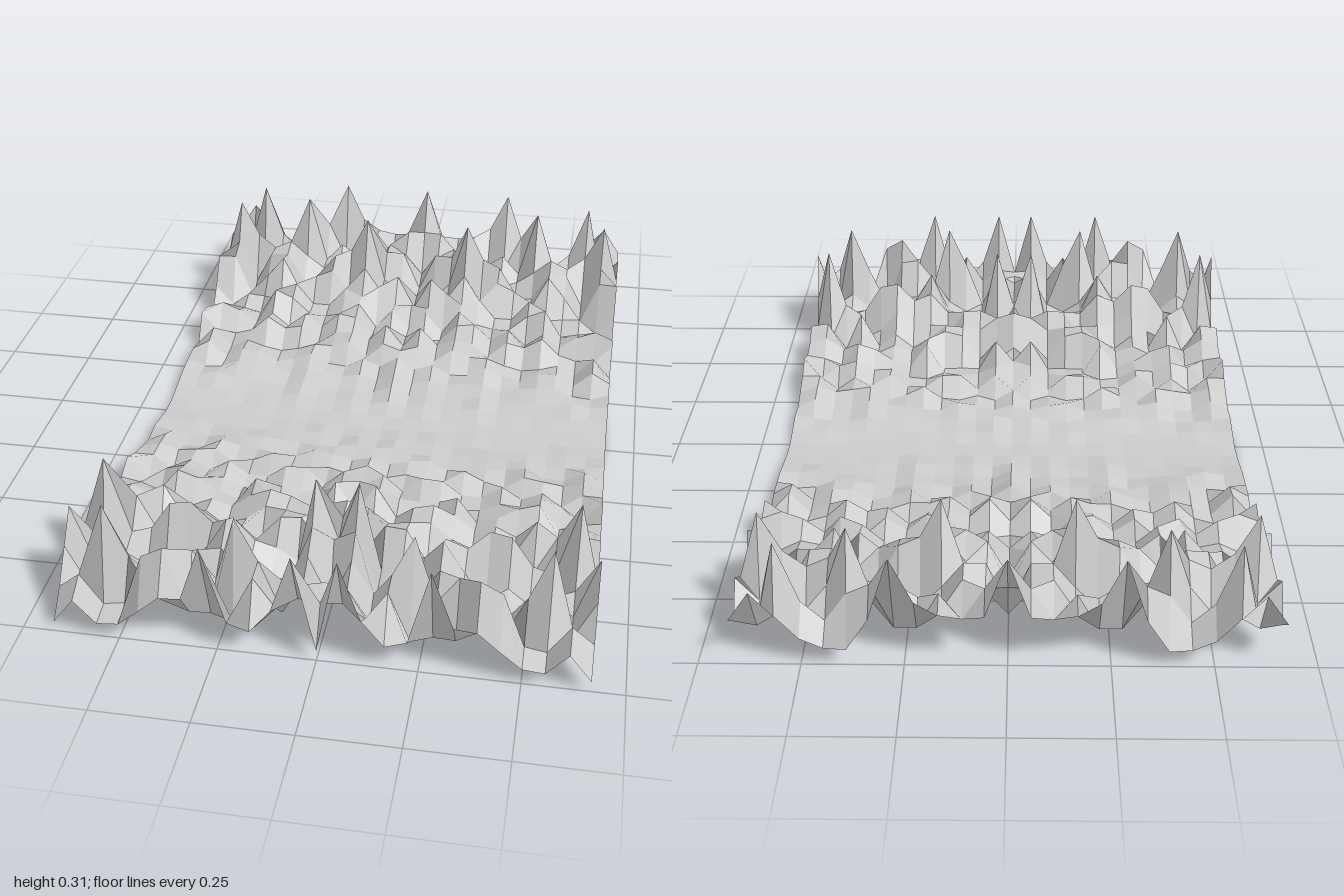
import * as THREE from 'three';

const COLS = 24, ROWS = 32, WIDTH = 4 / 3, DEPTH = 2, TOP = 0.315;

// Summits and corners as [columns out from the middle, row from the back, height], mirrored in x
const SUMMITS = [
  [0, 0, TOP], [5, 0, TOP], [10, 1, TOP], [11, 3, TOP], [3, 4, TOP], [7, 2, TOP],
  [1, 27, TOP], [11, 27, TOP], [10, 30, TOP], [5, 32, TOP], [4, 30, TOP], [7, 31, 0.25],
  [1, 32, TOP], [12, 29, 0.25], [12, 0, 0.13], [12, 32, 0.03], [0, 32, 0.03],
];

// Repeatable noise in 0..1
function makeNoise(seed) {
  return () => {
    seed = (seed * 16807) % 2147483647;
    return seed / 2147483647;
  };
}

// Height grid for one half: flat valley across the middle, rougher towards both ends
function makeHeights() {
  const noise = makeNoise(4711);
  const heights = [];
  for (let row = 0; row <= ROWS; row++) {
    const d = Math.abs((row / ROWS - 0.5) * DEPTH + 0.03);
    const rough = 0.19 * Math.pow(Math.min(1, d / 0.75), 1.25);
    heights.push([]);
    for (let c = 0; c <= COLS / 2; c++) {
      heights[row].push(0.002 + 0.03 * d + rough * Math.pow(noise(), 1.3));
    }
  }
  for (const [c, row, y] of SUMMITS) heights[row][c] = y;
  heights[16][0] = 0;
  return heights;
}

// Sheet of separate four-cornered facets, each with a single normal
function makeSheet(heights) {
  const positions = [], normals = [], indices = [];
  const point = (row, col) => new THREE.Vector3(
    (col / COLS - 0.5) * WIDTH, heights[row][Math.abs(col - COLS / 2)], (row / ROWS - 0.5) * DEPTH);
  for (let row = 0; row < ROWS; row++) {
    for (let col = 0; col < COLS; col++) {
      const corners = [point(row, col), point(row + 1, col), point(row + 1, col + 1), point(row, col + 1)];
      const [a, b, c, d] = corners;
      const normal = c.clone().sub(a).cross(d.clone().sub(b)).normalize();
      const n = positions.length / 3;
      for (const corner of corners) {
        positions.push(...corner.toArray());
        normals.push(...normal.toArray());
      }
      // Diagonals mirror across the middle
      if (col < COLS / 2) indices.push(n, n + 1, n + 3, n + 1, n + 2, n + 3);
      else indices.push(n, n + 1, n + 2, n, n + 2, n + 3);
    }
  }
  const geometry = new THREE.BufferGeometry();
  geometry.setAttribute('position', new THREE.Float32BufferAttribute(positions, 3));
  geometry.setAttribute('normal', new THREE.Float32BufferAttribute(normals, 3));
  geometry.setIndex(indices);
  return geometry;
}

export function createModel() {
  const group = new THREE.Group();
  group.name = 'valleyTerrain';
  const terrain = new THREE.Mesh(makeSheet(makeHeights()), new THREE.MeshStandardMaterial({
    color: 0xcccccc, side: THREE.DoubleSide,
  }));
  terrain.name = 'terrain';
  group.add(terrain);
  return group;
}
